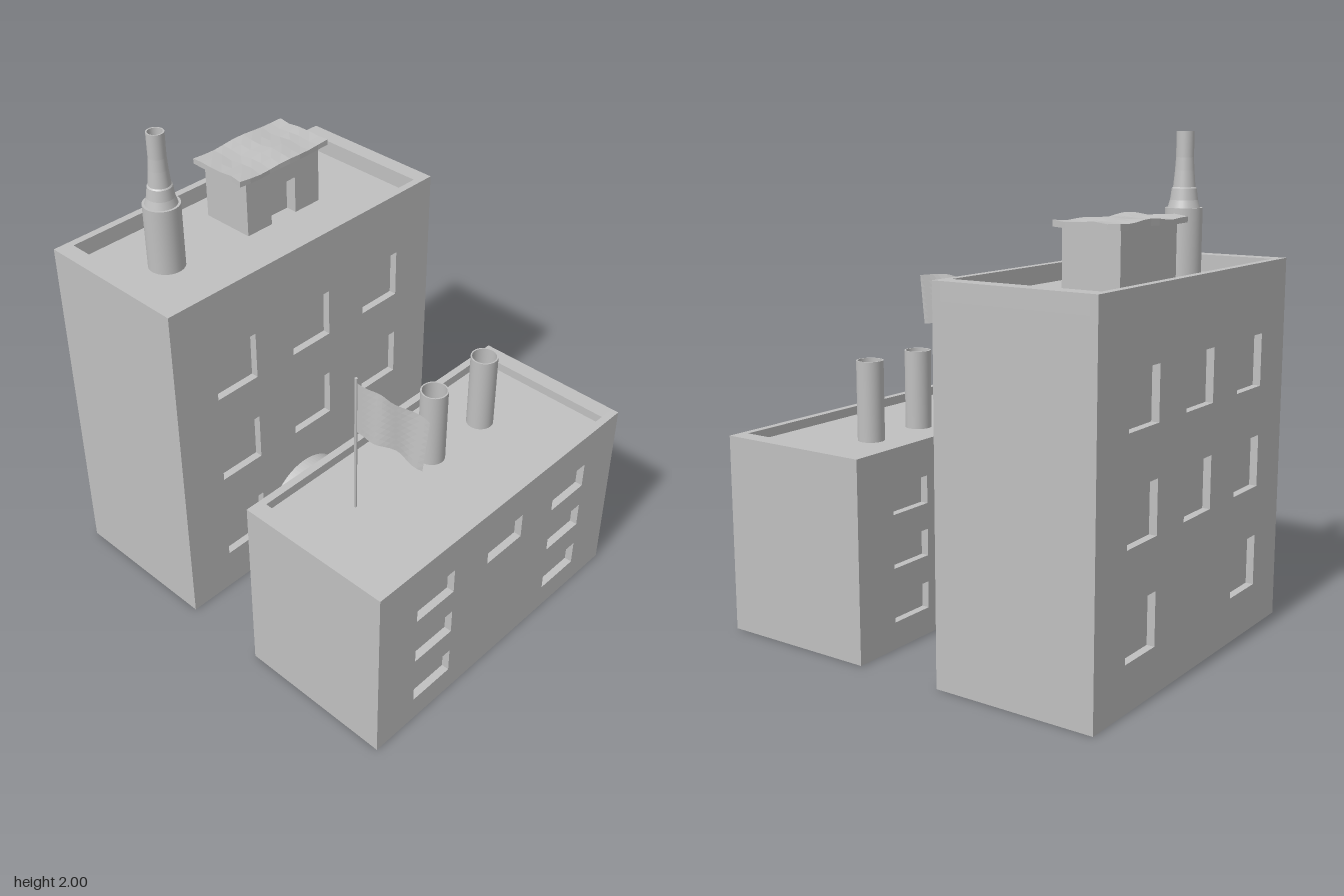
import * as THREE from 'three';

const grey = new THREE.MeshStandardMaterial({ color: 0xc0c0c0 });
grey.name = 'concreteGrey';
const greyFlat = new THREE.MeshStandardMaterial({ color: 0xc0c0c0, flatShading: true, side: THREE.DoubleSide });
greyFlat.name = 'concreteGreyThin';

const W = 1.434, WALL = 0.032, SIDE = 0.07;

function add(parent, name, geo, x = 0, y = 0, z = 0, mat = grey) {
  const m = new THREE.Mesh(geo, mat);
  m.name = name;
  m.position.set(x, y, z);
  parent.add(m);
  return m;
}

// Box given by its min and max corners
function block(parent, name, x0, x1, y0, y1, z0, z1) {
  return add(parent, name, new THREE.BoxGeometry(x1 - x0, y1 - y0, z1 - z0),
    (x0 + x1) / 2, (y0 + y1) / 2, (z0 + z1) / 2);
}

function rectPath(C, x0, y0, x1, y1) {
  const p = new C();
  p.moveTo(x0, y0);
  p.lineTo(x1, y0);
  p.lineTo(x1, y1);
  p.lineTo(x0, y1);
  p.closePath();
  return p;
}

// Building with recessed windows front and back and a parapet round a sunken roof
function building(name, h, roofY, z0, z1, rows) {
  const g = new THREE.Group();
  g.name = name;
  const facade = rectPath(THREE.Shape, -W / 2, 0, W / 2, h);
  for (const { y0, y1, cols } of rows)
    for (const cx of cols)
      facade.holes.push(rectPath(THREE.Path, cx - 0.104, y0, cx + 0.104, y1));
  const geo = new THREE.ExtrudeGeometry(facade, { depth: WALL, bevelEnabled: false });
  add(g, 'frontFacade', geo, 0, 0, z1 - WALL);
  add(g, 'backFacade', geo, 0, 0, z0);
  block(g, 'core', -W / 2, W / 2, 0, roofY, z0 + WALL, z1 - WALL);
  block(g, 'leftParapet', W / 2 - SIDE, W / 2, roofY, h, z0 + WALL, z1 - WALL);
  block(g, 'rightParapet', -W / 2, -W / 2 + SIDE, roofY, h, z0 + WALL, z1 - WALL);
  return g;
}

// Lathe from pairs of radius and height; each straight run keeps sharp edges
function turned(parent, name, pts, x, z) {
  const g = new THREE.Group();
  g.name = name;
  g.position.set(x, 0, z);
  for (let i = 0; i < pts.length - 1; i++)
    add(g, name + 'Section', new THREE.LatheGeometry(
      [new THREE.Vector2(...pts[i]), new THREE.Vector2(...pts[i + 1])], 32));
  parent.add(g);
}

export function createModel() {
  const model = new THREE.Group();
  model.name = 'factory';
  const all = [-0.408, 0, 0.408], outer = [-0.408, 0.408];

  const ROOF_B = 1.43, ROOF_F = 0.772;
  const back = building('tallBuilding', 1.5, ROOF_B, -0.855, -0.183, [
    { y0: 1.01, y1: 1.22, cols: all },
    { y0: 0.60, y1: 0.81, cols: all },
    { y0: 0.185, y1: 0.395, cols: outer },
  ]);
  const front = building('lowBuilding', 0.81, ROOF_F, 0.183, 0.855, [
    { y0: 0.547, y1: 0.66, cols: all },
    { y0: 0.33, y1: 0.44, cols: outer },
    { y0: 0.11, y1: 0.22, cols: outer },
  ]);
  model.add(back, front);

  // Arched passage between the buildings
  const r = 0.205;
  const arch = new THREE.Shape();
  arch.moveTo(-r, 0);
  arch.lineTo(r, 0);
  arch.lineTo(r, 0.215);
  arch.absarc(0, 0.215, r, 0, Math.PI, false);
  arch.closePath();
  add(model, 'archedPassage', new THREE.ExtrudeGeometry(arch,
    { depth: 0.366, bevelEnabled: false, curveSegments: 20 }), -0.055, 0, -0.183);

  // Twin open chimneys
  for (const x of [0.023, 0.325])
    turned(front, 'chimney', [[0.055, ROOF_F], [0.055, 1.1], [0.049, 1.1],
      [0.049, 0.8], [0, 0.8]], x, 0.453);

  // Stepped smokestack, open at the top
  turned(back, 'smokestack', [[0.074, ROOF_B], [0.074, 1.705], [0.064, 1.705],
    [0.055, 1.735], [0.049, 1.78], [0.044, 1.785], [0.038, 1.85], [0.035, 1.9],
    [0.035, 2], [0.029, 2], [0.029, 1.85], [0, 1.85]], -0.42, -0.545);

  // Roof hut with a recessed doorway
  const hut = new THREE.Group();
  hut.name = 'roofHut';
  back.add(hut);
  const wall = new THREE.Shape();
  [[-0.06, ROOF_B], [0.07, ROOF_B], [0.07, 1.585], [0.205, 1.592], [0.205, ROOF_B],
    [0.34, ROOF_B], [0.34, 1.675], [-0.06, 1.675]]
    .forEach(([x, y], i) => (i ? wall.lineTo(x, y) : wall.moveTo(x, y)));
  add(hut, 'doorWall', new THREE.ExtrudeGeometry(wall, { depth: 0.05, bevelEnabled: false }), 0, 0, -0.52);
  block(hut, 'hutBody', -0.06, 0.34, ROOF_B, 1.675, -0.71, -0.52);

  // Uneven slab roof
  const slab = new THREE.BoxGeometry(0.485, 0.022, 0.28, 9, 1, 5);
  const p = slab.attributes.position;
  for (let i = 0; i < p.count; i++) {
    const x = p.getX(i), y = p.getY(i), z = p.getZ(i);
    const wave = 0.004 * Math.sin(x * 23 + 1) + 0.004 * Math.sin(z * 38 + x * 9);
    p.setXYZ(i, x + 0.004 * Math.sin(z * 30), y + (y > 0 ? wave : wave * 0.5), z + 0.003 * Math.sin(x * 25));
  }
  add(hut, 'hutRoof', slab, 0.142, 1.684, -0.595, greyFlat);

  // Flagpole and waving flag
  add(front, 'flagpole', new THREE.CylinderGeometry(0.006, 0.006, 1.38 - ROOF_F, 10),
    -0.395, (1.38 + ROOF_F) / 2, 0.435);
  const cloth = new THREE.PlaneGeometry(1, 1, 14, 8);
  const q = cloth.attributes.position;
  for (let i = 0; i < q.count; i++) {
    const u = q.getX(i) + 0.5, v = q.getY(i) + 0.5;
    const swing = 0.010 * Math.sin(u * 10 - 1) * (2 * v - 1) * Math.min(1, u * 3);
    q.setXYZ(i,
      -0.395 + 0.008 * u + swing,
      1.14 + 0.222 * v + 0.006 * Math.sin(u * 7 + 3.4),
      0.437 + u * (0.312 + 0.016 * v));
  }
  cloth.computeVertexNormals();
  add(front, 'flag', cloth, 0, 0, 0, greyFlat);

  return model;
}
